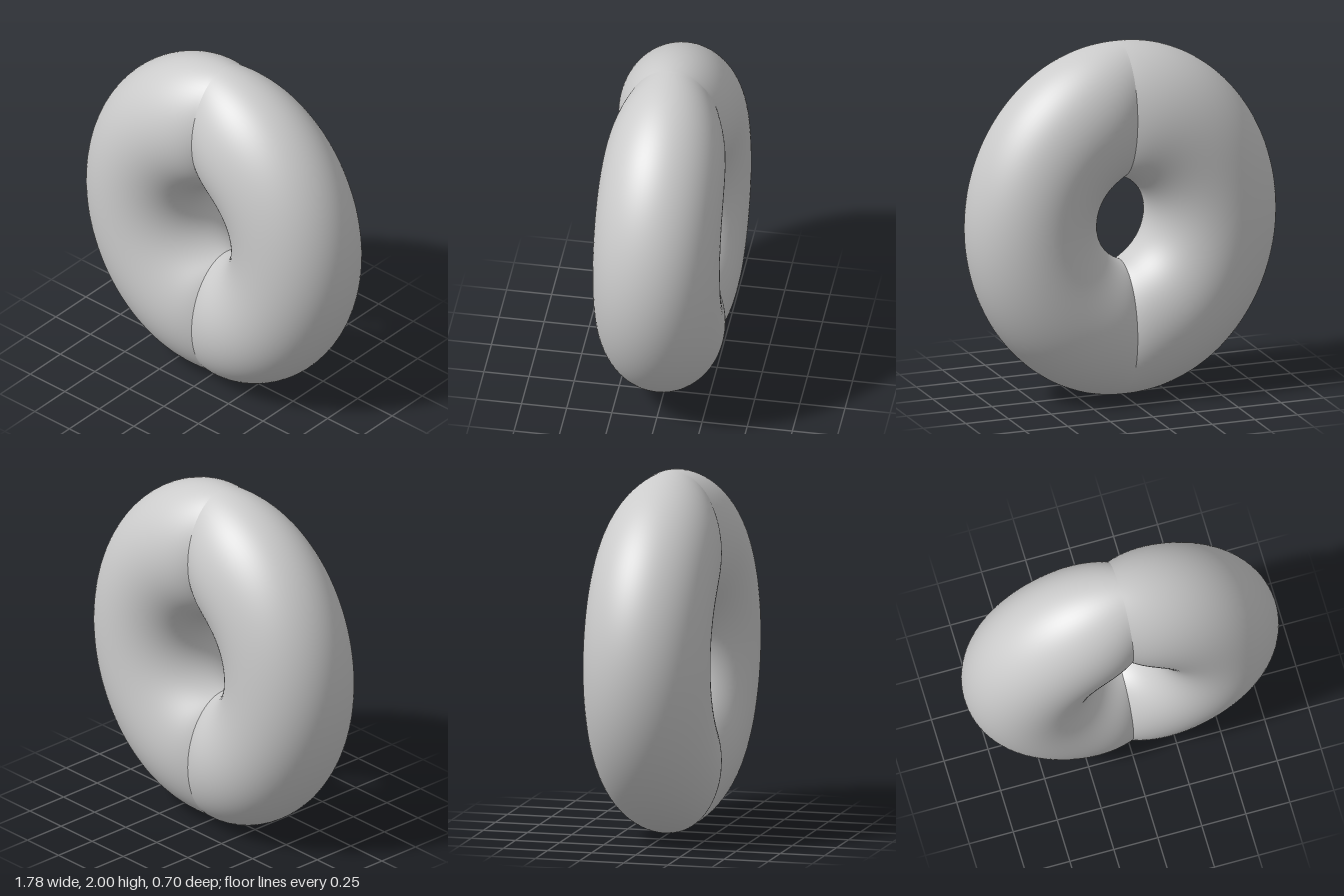
import * as THREE from 'three';

const ALONG = 140, AROUND = 80;

// Half of the ring: oval sections swept from bottom to top, pinched at both ends
function halfRingGeometry() {
  const positions = [], index = [];
  const innerEnd = Math.asin(0.24 / 0.26);
  for (let i = 0; i <= ALONG; i++) {
    const t = (i / ALONG) * 2 - 1;
    const a = t * Math.PI / 2, b = t * innerEnd;
    // Outer rim is an ellipse, inner rim an arc that meets its mirror at a point
    const ox = 0.89 * Math.cos(a), oy = Math.sin(a);
    const ix = -0.1 + 0.26 * Math.cos(b), iy = 0.26 * Math.sin(b);
    const mx = Math.max(0, (ox + ix) / 2), my = (oy + iy) / 2;
    const depth = 0.35 - 0.08 * Math.exp(-mx / 0.15);
    for (let j = 0; j < AROUND; j++) {
      const v = (j / AROUND) * Math.PI * 2;
      const c = Math.cos(v) / 2;
      positions.push(Math.max(0, mx + (ox - ix) * c), 1 + my + (oy - iy) * c, depth * Math.sin(v));
    }
  }
  for (let i = 0; i < ALONG; i++) {
    for (let j = 0; j < AROUND; j++) {
      const k = (j + 1) % AROUND;
      const p = i * AROUND + j, q = i * AROUND + k;
      index.push(p, p + AROUND, q, p + AROUND, q + AROUND, q);
    }
  }
  const geometry = new THREE.BufferGeometry();
  geometry.setAttribute('position', new THREE.Float32BufferAttribute(positions, 3));
  geometry.setIndex(index);
  geometry.computeVertexNormals();
  return geometry;
}

export function createModel() {
  const group = new THREE.Group();
  group.name = 'pinchedRing';
  const material = new THREE.MeshStandardMaterial({ color: 0xcccccc, side: THREE.DoubleSide });
  const geometry = halfRingGeometry();

  // Two equal halves meeting in a crease at x = 0
  const left = new THREE.Mesh(geometry, material);
  left.name = 'leftHalf';
  const right = new THREE.Mesh(geometry, material);
  right.name = 'rightHalf';
  right.rotation.y = Math.PI;
  group.add(left, right);
  return group;
}
